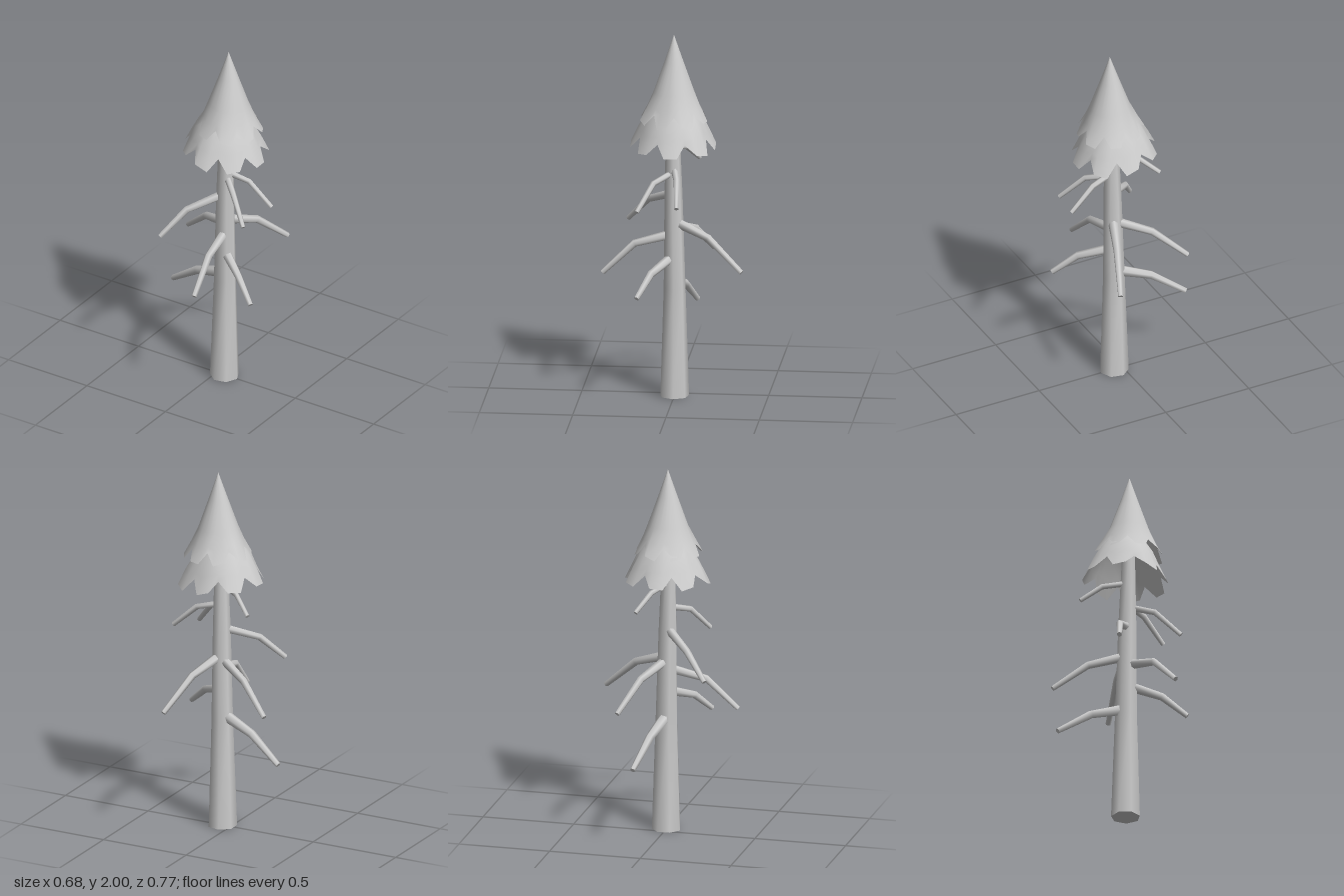
import * as THREE from 'three';

const V = (x, y, z) => new THREE.Vector3(x, y, z);

// Skin a stack of rings (listed from bottom to top), optionally closing both ends.
function loft(rings, caps) {
  const n = rings[0].length;
  const points = rings.flat();
  const index = [];
  for (let r = 0; r < rings.length - 1; r++) {
    for (let i = 0; i < n; i++) {
      const a = r * n + i, b = r * n + (i + 1) % n;
      index.push(a, b, b + n, a, b + n, a + n);
    }
  }
  if (caps) {
    [rings[0], rings[rings.length - 1]].forEach((ring, end) => {
      const base = points.length;
      points.push(...ring.map((p) => p.clone()));
      for (let i = 1; i < n - 1; i++) {
        if (end) index.push(base, base + i, base + i + 1);
        else index.push(base, base + i + 1, base + i);
      }
    });
  }
  const geometry = new THREE.BufferGeometry().setFromPoints(points);
  geometry.setIndex(index);
  geometry.computeVertexNormals();
  return geometry;
}

// Tapered limb following a bent line of points.
function limb(path, radii, sides) {
  const rings = path.map((p, k) => {
    const before = path[Math.max(k - 1, 0)], after = path[Math.min(k + 1, path.length - 1)];
    const turn = new THREE.Quaternion().setFromUnitVectors(V(0, 1, 0), after.clone().sub(before).normalize());
    return Array.from({ length: sides }, (_, i) => {
      const a = (i / sides) * Math.PI * 2;
      return V(Math.cos(a) * radii[k], 0, -Math.sin(a) * radii[k]).applyQuaternion(turn).add(p);
    });
  });
  return loft(rings, true);
}

// Skirt of needles: petals with blunt tips, folded in at the notches.
// Each profile row is [height, radius, notch radius factor, notch lift].
function skirt(profile, cx, tilt, phase) {
  const petals = 8;
  const rings = profile.map(([y, radius, fold, lift]) => {
    const ring = [];
    for (let p = 0; p < petals; p++) {
      const wobble = Math.sin(p * 2.4 + phase * 5);
      [0, 0.3, 0.7].forEach((t, corner) => {
        const a = ((p + t) / petals) * Math.PI * 2 + phase;
        const notch = corner === 0;
        const vary = lift ? wobble : 0;
        const r = radius * (notch ? fold : 1 + 0.03 * vary);
        const x = Math.cos(a) * r;
        const drop = notch ? lift : 0.012 * vary * (corner === 1 ? 1 : -0.6);
        ring.push(V(cx + x, y + drop - x * tilt, -Math.sin(a) * r));
      });
    }
    return ring;
  });
  return loft(rings, false);
}

export function createModel() {
  const tree = new THREE.Group();
  const material = new THREE.MeshStandardMaterial({ color: 0xcccccc });
  const leafMaterial = new THREE.MeshStandardMaterial({ color: 0xcccccc, side: THREE.DoubleSide });
  const add = (name, geometry, mat = material) => {
    const mesh = new THREE.Mesh(geometry, mat);
    mesh.name = name;
    tree.add(mesh);
  };

  // Trunk, slightly leaning and tapering up into the crown
  const trunk = limb([V(0.05, 0, 0), V(0.053, 0.6, 0), V(0.058, 1.1, 0.005), V(0.065, 1.7, 0.01)],
    [0.079, 0.06, 0.05, 0.03], 7);
  add('trunk', trunk);

  // Bare drooping branches: root, bend, tip, root radius
  const branches = [
    [V(0.05, 0.635, 0), V(-0.15, 0.565, -0.04), V(-0.335, 0.435, -0.085), 0.032],
    [V(0.05, 0.945, 0), V(-0.13, 0.88, -0.095), V(-0.3, 0.73, -0.18), 0.026],
    [V(0.04, 1.115, 0.015), V(-0.095, 1.045, 0.15), V(-0.185, 0.91, 0.27), 0.024],
    [V(0.06, 1.375, 0.01), V(-0.065, 1.345, -0.055), V(-0.165, 1.26, -0.115), 0.015],
    [V(0.07, 1.255, 0), V(0.19, 1.225, -0.025), V(0.325, 1.105, -0.038), 0.018],
    [V(0.07, 1.235, 0.01), V(0.17, 1.2, 0.1), V(0.285, 1.07, 0.178), 0.018],
    [V(0.06, 0.77, 0.01), V(0.21, 0.71, 0.11), V(0.33, 0.605, 0.175), 0.027],
    [V(0.06, 0.895, 0.01), V(0.085, 0.845, 0.21), V(0.105, 0.685, 0.38), 0.026],
    [V(0.06, 0.965, 0), V(0.13, 0.895, -0.19), V(0.205, 0.73, -0.375), 0.027],
  ];
  branches.forEach(([root, bend, tip, r], i) => {
    add(`branch${i + 1}`, limb([root, bend, tip], [r, r * 0.5 + 0.007, r * 0.2 + 0.009], 6));
  });

  // Crown: pointed upper tier over a wider lower tier
  add('upperFoliage', skirt([
    [1.535, 0.182, 0.82, 0.055],
    [1.61, 0.142, 0.95, 0.01],
    [1.69, 0.108, 1, 0],
    [1.85, 0.052, 1, 0],
    [2.0, 0.0005, 1, 0],
  ], 0.075, 0.06, 0.1), leafMaterial);
  add('lowerFoliage', skirt([
    [1.385, 0.23, 0.83, 0.06],
    [1.47, 0.19, 0.92, 0.01],
    [1.55, 0.15, 0.97, 0],
    [1.64, 0.09, 1, 0],
    [1.74, 0.002, 1, 0],
  ], 0.052, 0.08, Math.PI / 8), leafMaterial);

  return tree;
}
